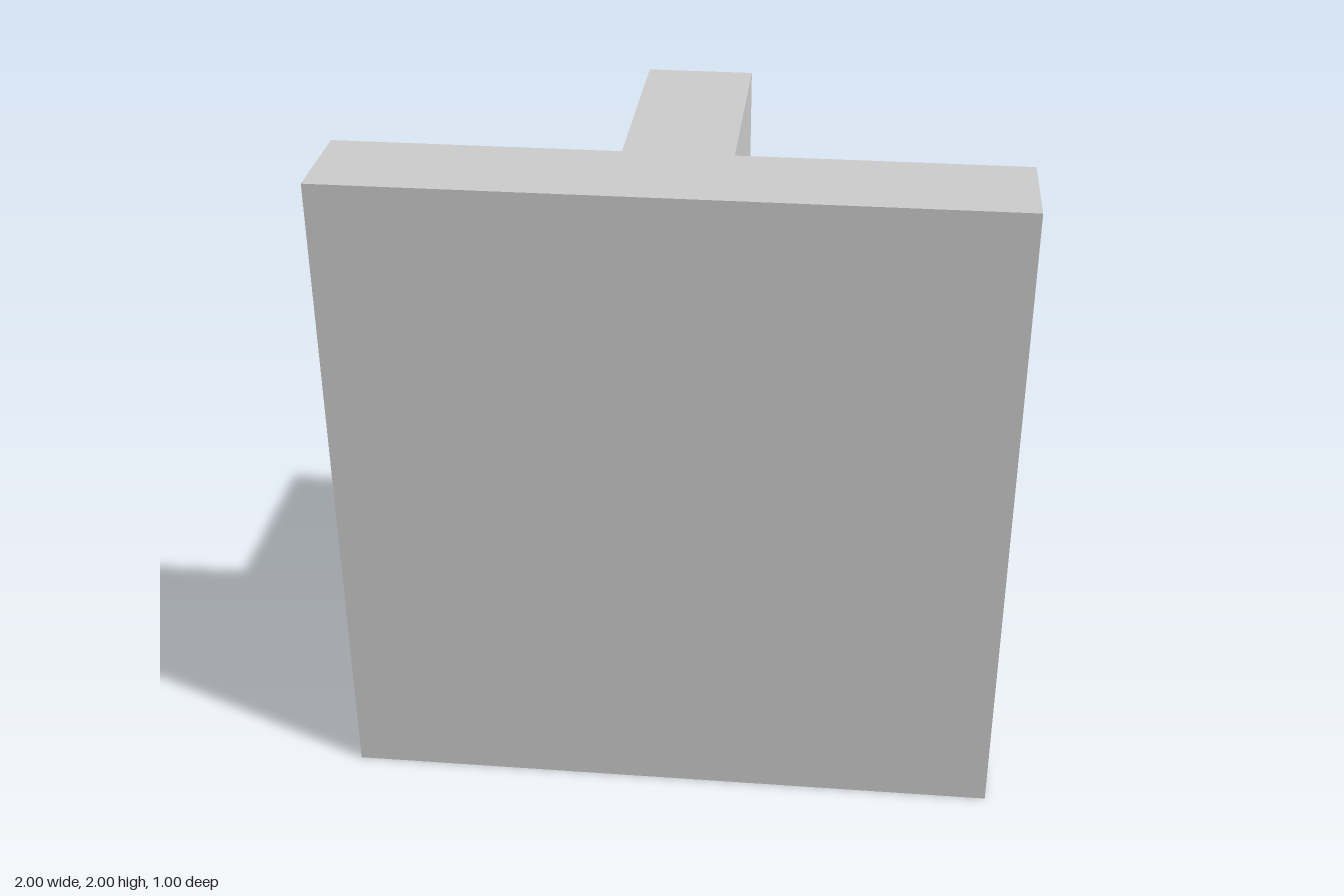
import * as THREE from 'three';

export function createModel() {
  const group = new THREE.Group();
  group.name = 'teeSection';

  // T-shaped plan: wide flange at the front, web running to the back (shape y = -z)
  const halfWeb = 0.16, flangeBack = -0.18;
  const plan = new THREE.Shape([
    [-1, -0.5], [1, -0.5], [1, flangeBack], [halfWeb, flangeBack],
    [halfWeb, 0.5], [-halfWeb, 0.5], [-halfWeb, flangeBack], [-1, flangeBack],
  ].map(([x, y]) => new THREE.Vector2(x, y)));

  // Extruded straight up to full height
  const geometry = new THREE.ExtrudeGeometry(plan, { depth: 2, bevelEnabled: false });
  geometry.rotateX(-Math.PI / 2);

  const tee = new THREE.Mesh(
    geometry,
    new THREE.MeshStandardMaterial({ color: 0xcccccc, flatShading: true }),
  );
  tee.name = 'flangeAndWeb';
  group.add(tee);
  return group;
}
